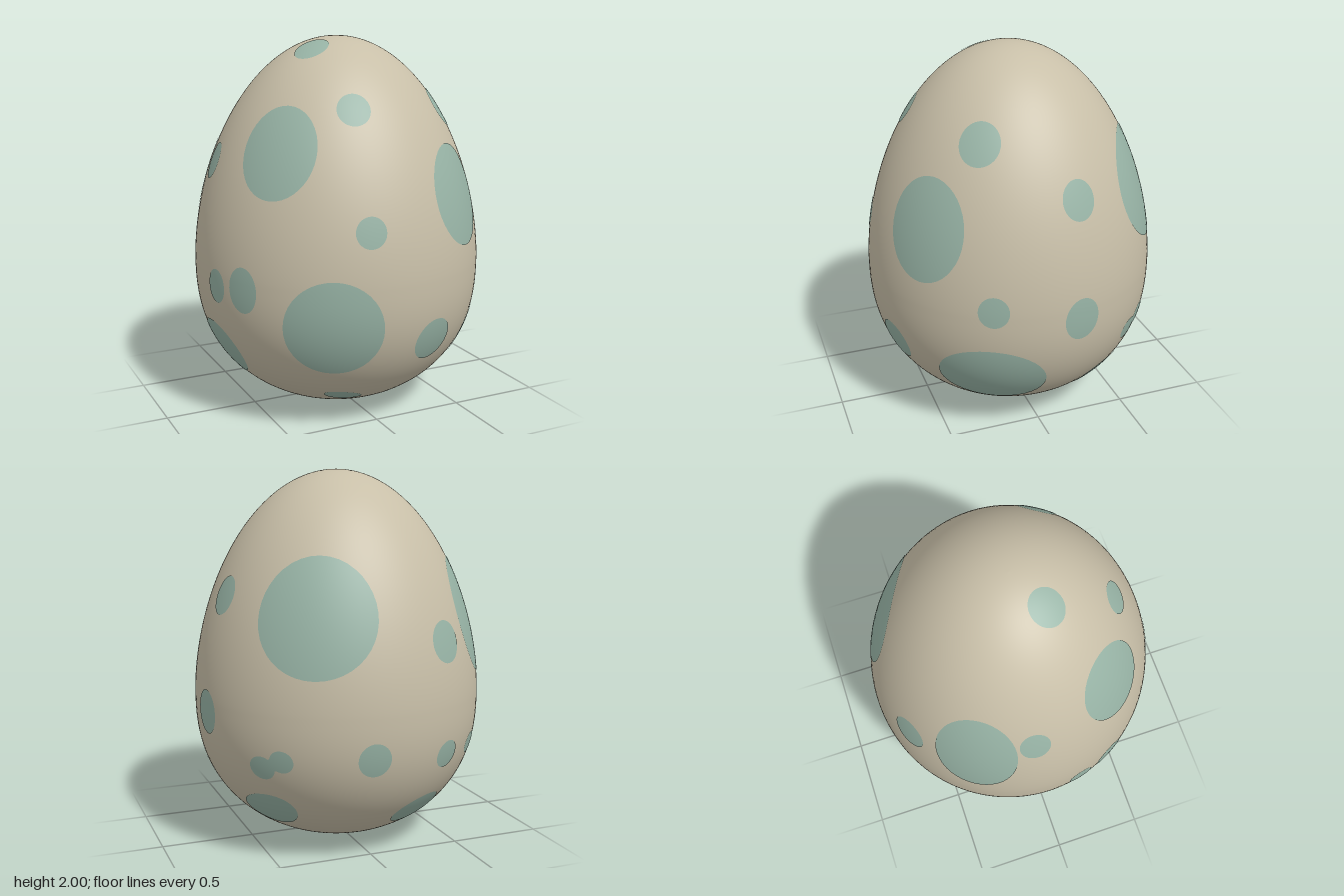
import * as THREE from 'three';

// Egg profile: widest at BELLY, pointed upper half and blunt lower half
const RADIUS = 0.78, BELLY = 0.8;
const half = (up) => (up ? { h: 1.2, p: 1.8 } : { h: 0.8, p: 2.4 });

function profilePoint(a) {
  const { h, p } = half(a >= 0);
  const y = BELLY + Math.sign(a) * h * Math.pow(Math.abs(Math.sin(a)), 2 / p);
  return new THREE.Vector2(Math.max(0, RADIUS * Math.cos(a)), y);
}

// Implicit egg: zero on the shell, positive outside
function eggValue(v) {
  const { h, p } = half(v.y >= BELLY);
  return (v.x * v.x + v.z * v.z) / RADIUS ** 2 + Math.pow(Math.abs(v.y - BELLY) / h, p) - 1;
}

function eggNormal(v) {
  const { h, p } = half(v.y >= BELLY), dy = v.y - BELLY;
  const ny = Math.sign(dy) * (p / h) * Math.pow(Math.abs(dy) / h, p - 1);
  return new THREE.Vector3((2 * v.x) / RADIUS ** 2, ny, (2 * v.z) / RADIUS ** 2).normalize();
}

// Drop a point onto the shell along the line to the egg's middle
function toShell(v) {
  const centre = new THREE.Vector3(0, BELLY, 0);
  const dir = v.clone().sub(centre).normalize();
  let lo = 0, hi = 1.5;
  for (let i = 0; i < 30; i++) {
    const mid = (lo + hi) / 2;
    if (eggValue(centre.clone().addScaledVector(dir, mid)) > 0) hi = mid;
    else lo = mid;
  }
  return centre.addScaledVector(dir, lo);
}

// Thin oval patch wrapped on the shell
function spotGeometry([x, y, z, w, h, tilt = 0]) {
  const { h: hh, p } = half(y >= BELLY);
  const r = RADIUS * Math.sqrt(1 - Math.pow(Math.abs(y - BELLY) / hh, p));
  const az = Math.atan2(x, z);
  const c = new THREE.Vector3(r * Math.sin(az), y, r * Math.cos(az));
  const across = new THREE.Vector3(Math.cos(az), 0, -Math.sin(az));
  const upward = eggNormal(c).cross(across);
  const t = THREE.MathUtils.degToRad(tilt);
  const geo = new THREE.RingGeometry(0, 1, 40, 7);
  const pos = geo.attributes.position, nor = geo.attributes.normal;
  for (let i = 0; i < pos.count; i++) {
    const a = pos.getX(i) * w, b = pos.getY(i) * h;
    const q = c.clone()
      .addScaledVector(across, a * Math.cos(t) - b * Math.sin(t))
      .addScaledVector(upward, a * Math.sin(t) + b * Math.cos(t));
    const s = toShell(q), n = eggNormal(s);
    s.addScaledVector(n, 0.003);
    pos.setXYZ(i, s.x, s.y, s.z);
    nor.setXYZ(i, n.x, n.y, n.z);
  }
  return geo;
}

// Spots: centre x, y, z, half width, half height, tilt in degrees
const SPOTS = [
  // crown
  [-0.205, 1.94, 0.125, 0.09, 0.1],
  // front
  [-0.48, 1.46, 0.37, 0.21, 0.25],
  [-0.14, 1.655, 0.48, 0.085, 0.09],
  [0.46, 1.63, 0.31, 0.105, 0.115],
  [0.41, 1.21, 0.57, 0.23, 0.275],
  [-0.16, 1.085, 0.72, 0.078, 0.08],
  [-0.34, 0.59, 0.68, 0.265, 0.27],
  [0.205, 0.485, 0.70, 0.118, 0.122],
  [-0.19, 0.16, 0.48, 0.105, 0.06, -20],
  // left and right flanks
  [0.62, 0.385, 0.31, 0.3, 0.245],
  [0.71, 0.84, 0.325, 0.08, 0.085],
  [0.66, 1.36, -0.13, 0.09, 0.105],
  [0.77, 0.755, -0.125, 0.097, 0.118],
  [0.58, 0.53, -0.475, 0.072, 0.065],
  [0.51, 0.575, -0.565, 0.065, 0.06],
  [0.54, 0.555, -0.525, 0.06, 0.035, 30],
  [0.49, 0.26, -0.34, 0.18, 0.13, 22],
  [-0.69, 0.765, 0.36, 0.09, 0.12],
  [-0.755, 0.75, 0.17, 0.07, 0.09],
  [-0.69, 0.37, 0.05, 0.185, 0.18],
  // back
  [0.33, 1.3, -0.59, 0.32, 0.32],
  [-0.594, 1.25, -0.374, 0.225, 0.33],
  [-0.66, 1.36, -0.08, 0.08, 0.1],
  [-0.33, 1.14, -0.65, 0.1, 0.11],
  [0.09, 0.59, -0.755, 0.085, 0.09],
  [-0.34, 0.56, -0.67, 0.078, 0.075],
  [-0.56, 0.56, -0.51, 0.07, 0.058, 10],
  [-0.24, 0.24, -0.56, 0.15, 0.115, 22],
];

export function createModel() {
  const shellMaterial = new THREE.MeshStandardMaterial({ color: 0xc8bfa8 });
  shellMaterial.name = 'creamShell';
  const spotMaterial = new THREE.MeshStandardMaterial({ color: 0x98b4a6 });
  spotMaterial.name = 'greenSpot';

  const egg = new THREE.Group();
  egg.name = 'egg';

  // Shell
  const points = [];
  for (let i = 0; i <= 96; i++) points.push(profilePoint((i / 96 - 0.5) * Math.PI));
  const shell = new THREE.Mesh(new THREE.LatheGeometry(points, 128), shellMaterial);
  shell.name = 'shell';
  egg.add(shell);

  // Spots
  const spots = new THREE.Group();
  spots.name = 'spots';
  SPOTS.forEach((spec, i) => {
    const spot = new THREE.Mesh(spotGeometry(spec), spotMaterial);
    spot.name = `spot${i + 1}`;
    spots.add(spot);
  });
  egg.add(spots);
  return egg;
}
